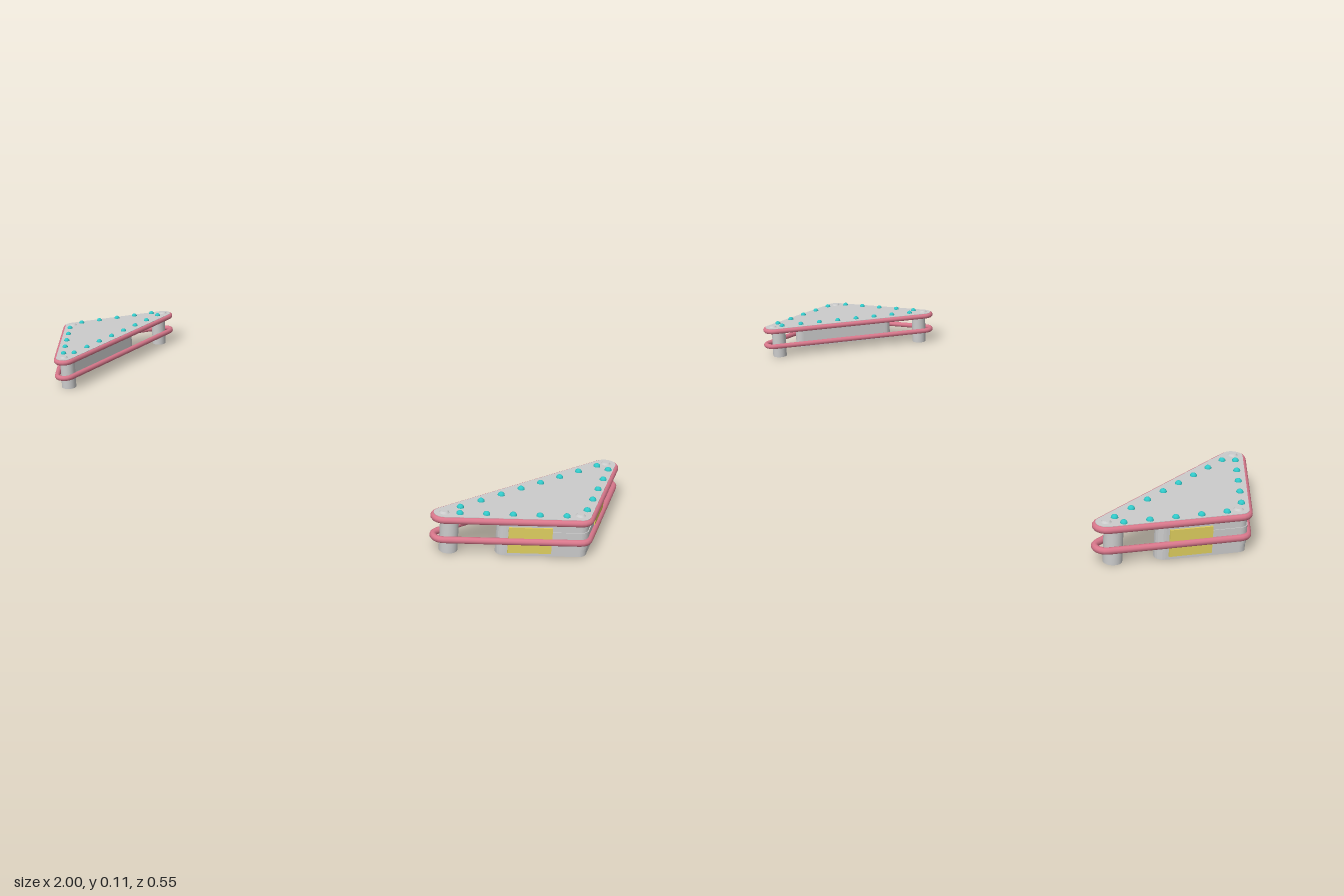
import * as THREE from 'three';

const mat = (color) => new THREE.MeshStandardMaterial({ color });
const grey = mat(0xcccccc), pink = mat(0xd9788c), yellow = mat(0xe0d060), teal = mat(0x30c8c8);

// Corners of the deck as (x, z)
const A = [0.855, -0.246], B = [0.968, 0.04], C = [0.735, 0.246];

// Triangle with its corners rounded to radius r, running anticlockwise
function roundedOutline(corners, r) {
  const shape = new THREE.Shape(), n = corners.length, steps = 8;
  const edgeAngle = (a, b) => Math.atan2(-(b[0] - a[0]), b[1] - a[1]);
  const pts = [];
  corners.forEach((p, i) => {
    const from = edgeAngle(corners[(i + n - 1) % n], p);
    let to = edgeAngle(p, corners[(i + 1) % n]);
    if (to < from) to += Math.PI * 2;
    for (let k = 0; k <= steps; k++) {
      const t = from + (to - from) * k / steps;
      pts.push(new THREE.Vector2(p[0] + r * Math.cos(t), p[1] + r * Math.sin(t)));
    }
  });
  shape.setFromPoints([...pts, pts[0].clone()]);
  return shape;
}

function add(parent, name, geometry, material, x = 0, y = 0, z = 0) {
  const mesh = new THREE.Mesh(geometry, material);
  mesh.name = name;
  mesh.position.set(x, y, z);
  parent.add(mesh);
  return mesh;
}

// Upright slab between two heights
function slab(shape, y0, y1) {
  return new THREE.ExtrudeGeometry(shape, { depth: y1 - y0, bevelEnabled: false })
    .rotateX(Math.PI / 2).translate(0, y1, 0);
}

// One unit; s = 1 for the left, -1 for its mirror image
function createUnit(s) {
  const unit = new THREE.Group();
  unit.name = s > 0 ? 'leftBumper' : 'rightBumper';
  const outline = (corners, r) => {
    const pts = corners.map(([x, z]) => [x * s, z]);
    return roundedOutline(s > 0 ? pts : pts.reverse(), r);
  };

  // Deck, wedge housing and the band round its outer corner
  add(unit, 'deck', slab(outline([A, B, C], 0.024), 0.083, 0.1), grey);
  add(unit, 'housing', slab(outline([[0.904, -0.122], B, [0.841, 0.153]], 0.02), 0.003, 0.083), grey);
  add(unit, 'cornerBand', slab(outline([[0.925, -0.069], B, [0.9, 0.1]], 0.022), 0.022, 0.065), grey);

  // Two rubber rings following the deck edge
  const path = outline([A, B, C], 0.024).getSpacedPoints(160).slice(0, -1)
    .map((p) => new THREE.Vector3(p.x, 0, p.y));
  const ring = new THREE.TubeGeometry(new THREE.CatmullRomCurve3(path, true), 160, 0.008, 10, true);
  for (const y of [0.041, 0.091]) add(unit, 'rubberRing', ring, pink, 0, y, 0);

  // Support posts
  for (const [x, z] of [[0.857, -0.226], [0.74, 0.231]]) {
    add(unit, 'post', new THREE.CylinderGeometry(0.022, 0.022, 0.084, 24), grey, s * x, 0.042, z);
  }

  // Yellow panels on the two outer faces
  for (const [x, z, p, q] of [[0.944, -0.076, A, B], [0.896, 0.13, B, C]]) {
    const panel = add(unit, 'sidePanel', new THREE.BoxGeometry(0.1, 0.065, 0.008), yellow, s * x, 0.0435, z);
    panel.rotation.y = Math.atan2(-(q[1] - p[1]), s * (q[0] - p[0]));
  }

  // Rows of domed studs inside each edge
  const dome = new THREE.SphereGeometry(0.0085, 14, 6, 0, Math.PI * 2, 0, Math.PI / 2);
  const rows = [
    [[0.848, -0.217], [0.746, 0.2], 8],
    [[0.88, -0.217], [0.965, 0.008], 5],
    [[0.949, 0.067], [0.765, 0.226], 5],
  ];
  for (const [p, q, count] of rows) {
    for (let i = 0; i < count; i++) {
      const t = i / (count - 1);
      add(unit, 'stud', dome, teal, s * (p[0] + (q[0] - p[0]) * t), 0.0995, p[1] + (q[1] - p[1]) * t);
    }
  }

  // Corner screws
  for (const [x, z] of [A, B, C]) {
    add(unit, 'screw', new THREE.CylinderGeometry(0.008, 0.012, 0.004, 16), grey, s * x, 0.102, z);
  }
  return unit;
}

export function createModel() {
  const model = new THREE.Group();
  model.name = 'bumperPair';
  model.add(createUnit(1), createUnit(-1));
  return model;
}
